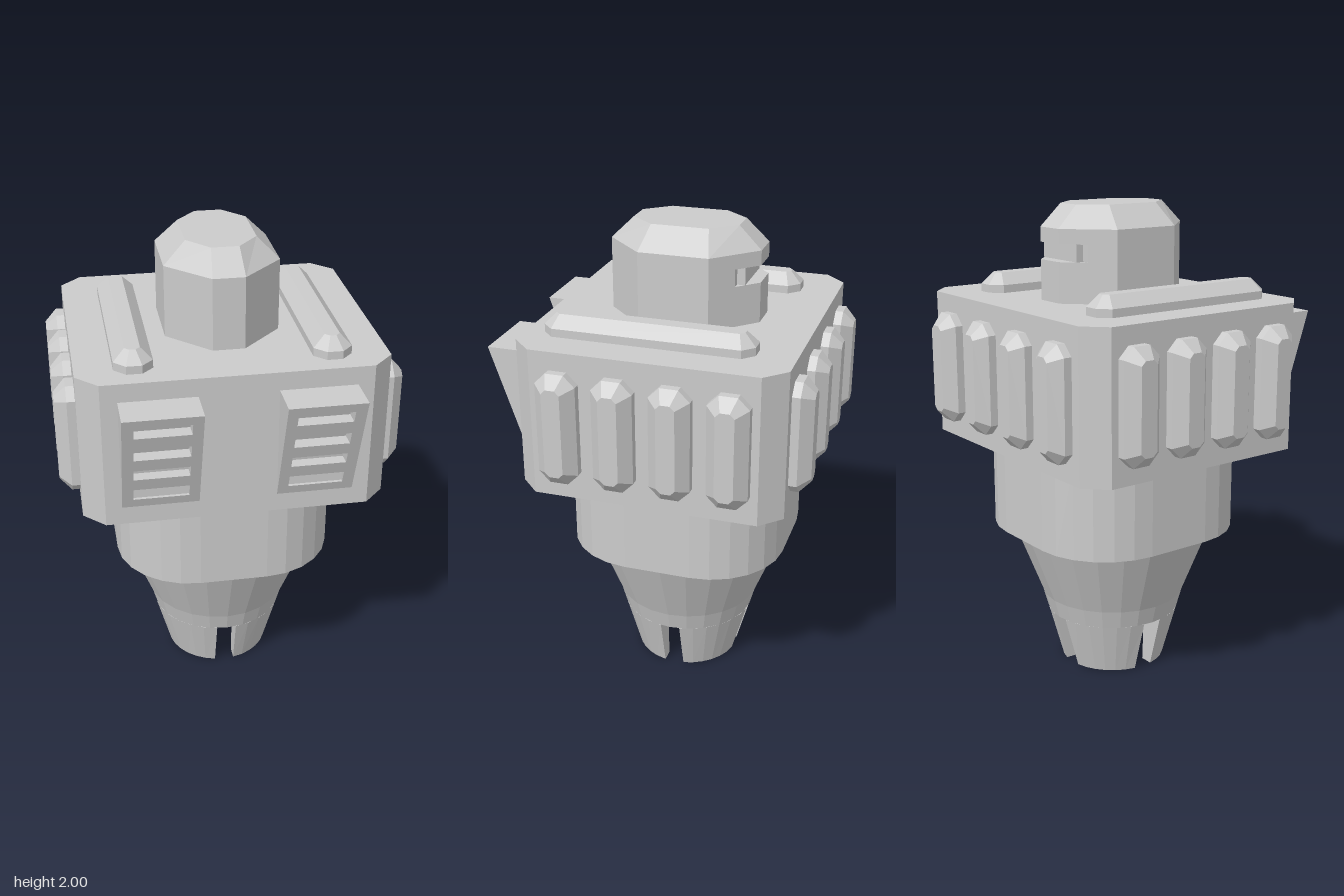
import * as THREE from 'three';

const material = new THREE.MeshStandardMaterial({ color: 0xcccccc, flatShading: true });
const CZ = -0.04; // depth centre of the main body

// Closed solid through level cross-sections [y, [[x, z], ...]], listed from bottom to top.
function loft(sections) {
  const rings = sections.map(([y, pts]) => pts.map(([x, z]) => new THREE.Vector3(x, y, z)));
  const flat = sections[0][1].map(([x, z]) => new THREE.Vector2(x, z));
  if (THREE.ShapeUtils.isClockWise(flat)) {
    rings.forEach((r) => r.reverse());
    flat.reverse();
  }
  const tris = [];
  const n = flat.length, top = rings[rings.length - 1];
  for (let k = 0; k + 1 < rings.length; k++) {
    for (let i = 0; i < n; i++) {
      const j = (i + 1) % n, lo = rings[k], hi = rings[k + 1];
      tris.push(lo[i], hi[i], lo[j], lo[j], hi[i], hi[j]);
    }
  }
  for (const [a, b, c] of THREE.ShapeUtils.triangulateShape(flat, [])) {
    tris.push(rings[0][a], rings[0][b], rings[0][c], top[c], top[b], top[a]);
  }
  const g = new THREE.BufferGeometry().setFromPoints(tris);
  g.computeVertexNormals();
  return g;
}

// Rectangle with cut corners: half sizes, then the cut along x and z.
function octagon(hx, hz, cx, cz = cx, oz = 0) {
  return [[hx, hz - cz], [hx - cx, hz], [cx - hx, hz], [-hx, hz - cz],
    [-hx, cz - hz], [cx - hx, -hz], [hx - cx, -hz], [hx, cz - hz]].map(([x, z]) => [x, z + oz]);
}

function rect(x0, x1, z0, z1) {
  return [[x0, z0], [x1, z0], [x1, z1], [x0, z1]];
}

function arc(r, a0, a1, steps, cx = 0, cz = 0) {
  return Array.from({ length: steps + 1 }, (_, i) => {
    const a = a0 + ((a1 - a0) * i) / steps;
    return [cx + r * Math.cos(a), cz + r * Math.sin(a)];
  });
}

const circle = (r) => arc(r, 0, Math.PI * 2, 24, 0, CZ).slice(0, -1);

function roundedSquare(half, r) {
  const c = half - r, q = Math.PI / 2;
  return [[1, 1], [-1, 1], [-1, -1], [1, -1]].flatMap(([sx, sz], k) =>
    arc(r, k * q, (k + 1) * q, 6, sx * c, sz * c + CZ));
}

export function createModel() {
  const model = new THREE.Group();
  const add = (name, geometry, parent = model) => {
    const mesh = new THREE.Mesh(geometry, material);
    mesh.name = name;
    parent.add(mesh);
    return mesh;
  };
  const addGroup = (name) => {
    const g = new THREE.Group();
    g.name = name;
    model.add(g);
    return g;
  };

  // Chamfered housing, collar and tapering nozzle
  add('housing', loft([1.005, 1.615].map((y) => [y, octagon(0.61, 0.54, 0.085, 0.085, CZ)])));
  add('collar', loft([0.62, 1.005].map((y) => [y, roundedSquare(0.46, 0.32)])));
  add('nozzle', loft([[0.23, circle(0.288)], [0.31, circle(0.31)], [0.62, circle(0.432)]]));

  // Four hollow prongs separated by crossed slots
  const prongs = addGroup('nozzleProngs');
  const prongSection = (outer, inner) => {
    const a = Math.asin(0.0425 / outer), b = Math.asin(0.0425 / inner), q = Math.PI / 2;
    return [...arc(outer, a, q - a, 6), ...arc(inner, q - b, b, 6)];
  };
  for (let k = 0; k < 4; k++) {
    const prong = add('prong', loft([[0, prongSection(0.225, 0.17)], [0.23, prongSection(0.288, 0.18)]]), prongs);
    prong.position.z = CZ;
    prong.rotation.y = (k * Math.PI) / 2;
  }

  // Faceted head with a slit across its back
  const head = addGroup('head');
  const full = octagon(0.23, 0.31, 0.166, 0.166, CZ);
  const slit = full.map(([x, z]) => (z < -0.3 ? [Math.sign(x) * 0.147, -0.267] : [x, z]));
  add('headBase', loft([[1.61, full], [1.78, full]]), head);
  add('headSlit', loft([[1.78, slit], [1.85, slit]]), head);
  add('slitInsert', loft([1.78, 1.85].map((y) => [y, rect(-0.115, 0.115, -0.3, -0.25)])), head);
  add('headTop', loft([[1.85, full], [1.91, full], [2, octagon(0.14, 0.217, 0.085, 0.1, CZ)]]), head);

  // Bevelled ribs: long axis local z, raised along local y
  const rib = (hw, hl, tw, tl) => loft([
    [-0.01, octagon(hw, hl, 0.045)],
    [0.033, octagon(hw, hl, 0.045)],
    [0.08, octagon(tw, tl, 0.018)],
  ]);
  const placeRib = (name, geometry, parent, up, along, position) => {
    const x = new THREE.Vector3().crossVectors(up, along);
    const mesh = add(name, geometry, parent);
    mesh.quaternion.setFromRotationMatrix(new THREE.Matrix4().makeBasis(x, up, along));
    mesh.position.set(...position);
  };
  const X = new THREE.Vector3(1, 0, 0), Y = new THREE.Vector3(0, 1, 0), Z = new THREE.Vector3(0, 0, 1);
  const shortRib = rib(0.082, 0.23, 0.037, 0.183);
  const sideRibs = addGroup('sideRibs'), backRibs = addGroup('backRibs'), topRibs = addGroup('topRibs');
  for (let i = 0; i < 4; i++) {
    for (const s of [1, -1]) {
      placeRib('sideRib', shortRib, sideRibs, X.clone().multiplyScalar(s), Y, [s * 0.61, 1.31, -0.382 + i * 0.226]);
    }
    placeRib('backRib', shortRib, backRibs, Z.clone().negate(), Y, [-0.398 + i * 0.265, 1.31, -0.58]);
  }
  const longRib = rib(0.076, 0.424, 0.03, 0.378);
  for (const s of [1, -1]) placeRib('topRib', longRib, topRibs, Y, Z, [s * 0.385, 1.615, 0]);

  // Wedge-shaped vents, stacked from solid bars and recessed slots
  const face = (y) => 0.5 + (0.155 * (y - 1.08)) / 0.46;
  const levels = [1.08, 1.12, 1.175, 1.23, 1.28, 1.335, 1.39, 1.45, 1.5, 1.54];
  for (const s of [1, -1]) {
    const vent = addGroup(s > 0 ? 'leftVent' : 'rightVent');
    const block = (name, y0, y1, x0, x1, inset) => add(name, loft([y0, y1].map((y) =>
      [y, rect(s * x0, s * x1, 0.49, Math.max(0.5, face(y) - inset))])), vent);
    for (let i = 0; i + 1 < levels.length; i++) {
      const [y0, y1] = [levels[i], levels[i + 1]];
      if (i % 2 === 0) {
        block('ventBar', y0, y1, 0.155, 0.46, 0);
      } else {
        block('ventCheek', y0, y1, 0.155, 0.197, 0);
        block('ventCheek', y0, y1, 0.415, 0.46, 0);
        block('ventRecess', y0, y1, 0.197, 0.415, 0.06);
      }
    }
  }
  return model;
}
